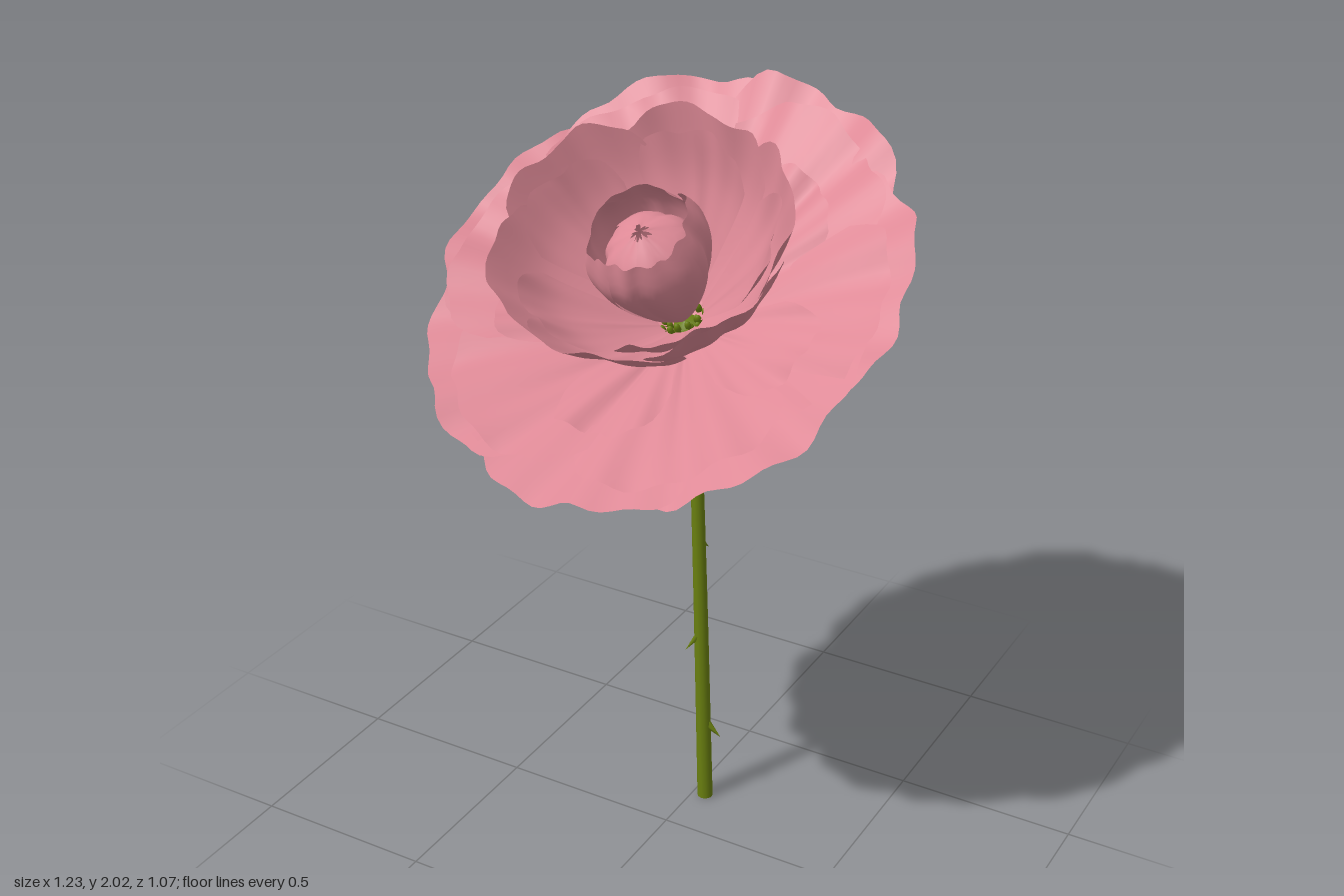
import * as THREE from 'three';

const V2 = (a) => a.map(([x, y]) => new THREE.Vector2(x, y));
const V3 = (x, y, z) => new THREE.Vector3(x, y, z);

// Petal swept around the flower axis: profile is [radius, height] from base to tip
function petalGeometry({ profile, angle, half, round, ruffle, twist, lean, seed }) {
  const curve = new THREE.SplineCurve(V2(profile));
  const NU = 28, NV = 14, pos = [], index = [];
  for (let j = 0; j <= NV; j++) {
    for (let i = 0; i <= NU; i++) {
      const u = (i / NU) * 2 - 1;
      // rounded, slightly scalloped tip
      const scallop = 0.015 * (2 + Math.sin(u * 7 + seed * 2.3) + Math.sin(u * 15 + seed));
      const v = (j / NV) * (1 - round * Math.pow(Math.abs(u), 3.5) - scallop);
      const p = curve.getPoint(v);
      const wave = ruffle * v * v * (Math.sin(u * 6.5 + seed * 1.7) + 0.5 * Math.sin(u * 13 + seed));
      const crease = -0.012 * Math.exp(-u * u * 60) * v * (1 - v) * 4;
      const a = angle + u * half * (0.8 + 0.2 * Math.sin(v * Math.PI * 0.6));
      // one edge lies over the neighbour, the other one under it
      const shift = wave + crease + twist * u * v;
      const r = p.x + lean * shift;
      pos.push(Math.sin(a) * r, p.y + (1 - lean) * shift, Math.cos(a) * r);
      if (i < NU && j < NV) {
        const k = j * (NU + 1) + i;
        index.push(k, k + 1, k + NU + 2, k, k + NU + 2, k + NU + 1);
      }
    }
  }
  const g = new THREE.BufferGeometry();
  g.setAttribute('position', new THREE.Float32BufferAttribute(pos, 3));
  g.setIndex(index);
  g.computeVertexNormals();
  return g;
}

// Pointed cone between two points, optionally flattened
function spike(from, to, radius, flat, sides, material) {
  const d = to.clone().sub(from);
  const g = new THREE.ConeGeometry(radius, d.length(), sides);
  g.translate(0, d.length() / 2, 0);
  const m = new THREE.Mesh(g, material);
  m.scale.z = flat;
  m.position.copy(from);
  m.quaternion.setFromUnitVectors(V3(0, 1, 0), d.normalize());
  return m;
}

// Tapered tube along a curve
function taperedTube(curve, r0, r1, segs, sides) {
  const g = new THREE.TubeGeometry(curve, segs, 1, sides);
  const p = g.attributes.position, v = V3();
  for (let i = 0; i < p.count; i++) {
    const t = Math.floor(i / (sides + 1)) / segs;
    const c = curve.getPointAt(t);
    v.fromBufferAttribute(p, i).sub(c).multiplyScalar(r0 + (r1 - r0) * t).add(c);
    p.setXYZ(i, v.x, Math.max(0, v.y), v.z);
  }
  return g;
}

export function createModel() {
  const pink = new THREE.MeshStandardMaterial({ color: 0xdf8a97, side: THREE.DoubleSide });
  pink.name = 'petal pink';
  const green = new THREE.MeshStandardMaterial({ color: 0x6a8010 });
  green.name = 'stem green';

  const model = new THREE.Group();
  model.name = 'flower';

  // Stem
  const path = new THREE.CatmullRomCurve3([
    V3(0.036, 0, -0.16), V3(0.013, 0.7, -0.16), V3(-0.007, 1.22, -0.16),
    V3(-0.01, 1.36, -0.155), V3(-0.01, 1.44, -0.128),
  ]);
  const stem = new THREE.Mesh(taperedTube(path, 0.022, 0.016, 40, 10), green);
  stem.name = 'stem';
  const stemEnd = new THREE.Mesh(new THREE.CircleGeometry(0.022, 10), green);
  stemEnd.name = 'stemEnd';
  stemEnd.rotation.x = Math.PI / 2;
  stemEnd.position.set(0.036, 0.001, -0.16);
  model.add(stem, stemEnd);

  // Thorns
  [
    [V3(0.04, 0.245, -0.16), V3(0.08, 0.21, -0.165)],
    [V3(0.012, 0.53, -0.15), V3(-0.013, 0.49, -0.127)],
    [V3(0.01, 0.825, -0.165), V3(0.014, 0.785, -0.206)],
  ].forEach(([a, b]) => {
    const thorn = spike(a, b, 0.013, 0.7, 6, green);
    thorn.name = 'thorn';
    model.add(thorn);
  });

  // Flower head, tilted towards the front
  const head = new THREE.Group();
  head.name = 'flowerHead';
  head.position.set(-0.01, 1.46, -0.12);
  head.rotation.x = THREE.MathUtils.degToRad(34.6);
  model.add(head);

  const receptacle = new THREE.Mesh(new THREE.LatheGeometry(
    V2([[0, -0.1], [0.018, -0.098], [0.034, -0.07], [0.048, -0.03], [0.052, 0.008], [0, 0.025]]), 16), green);
  receptacle.name = 'receptacle';
  head.add(receptacle);

  // Sepals
  for (let i = 0; i < 5; i++) {
    const a = (i / 5) * Math.PI * 2;
    const sepal = spike(V3(Math.sin(a) * 0.035, -0.015, Math.cos(a) * 0.035),
      V3(Math.sin(a) * 0.175, -0.08, Math.cos(a) * 0.175), 0.026, 0.6, 6, green);
    sepal.name = 'sepal';
    head.add(sepal);
  }

  // Stamens
  for (let i = 0; i < 26; i++) {
    const a = i * 2.4, r = 0.036 + 0.022 * ((i % 3) / 2);
    const stamen = new THREE.Mesh(new THREE.SphereGeometry(0.009, 7, 5), green);
    stamen.name = 'stamen';
    stamen.position.set(Math.sin(a) * r, 0.032 + 0.014 * (i % 2), Math.cos(a) * r);
    stamen.scale.y = 1.8;
    head.add(stamen);
  }

  // Petal rings from the outside in; lean 0 ruffles along the axis, 1 across it
  const rings = [
    { name: 'outerPetal', count: 7, half: 0.62, start: 0, round: 0.12, ruffle: 0.018, twist: 0.02, lean: 0.1, wide: 0.94,
      profile: [[0.03, 0], [0.21, 0.06], [0.42, 0.13], [0.665, 0.205]] },
    { name: 'middlePetal', count: 6, half: 0.6, start: 0.5, round: 0.18, ruffle: 0.018, twist: 0.02, lean: 0.1, wide: 0.97,
      profile: [[0.03, 0.015], [0.2, 0.08], [0.4, 0.155], [0.6, 0.22]] },
    { name: 'shortPetal', count: 5, half: 0.45, start: 0, round: 0.3, ruffle: 0.014, twist: 0.012, lean: 0.1, wide: 1,
      profile: [[0.035, 0.025], [0.16, 0.085], [0.3, 0.145], [0.45, 0.2]] },
    { name: 'cupPetal', count: 6, half: 0.68, start: 0, round: 0.2, ruffle: 0.012, twist: 0.018, lean: 0.8, wide: 1.05,
      profile: [[0.06, 0.055], [0.18, 0.155], [0.29, 0.275], [0.365, 0.425]] },
    { name: 'innerCupPetal', count: 5, half: 0.55, start: 0.63, round: 0.25, ruffle: 0.01, twist: 0.015, lean: 0.8, wide: 1.05,
      profile: [[0.058, 0.06], [0.16, 0.16], [0.26, 0.275], [0.32, 0.39]] },
    { name: 'budPetal', count: 4, half: 1.1, start: 0.3, round: 0.14, ruffle: 0.006, twist: 0.008, lean: 1, wide: 1,
      profile: [[0.02, 0.05], [0.085, 0.145], [0.135, 0.255], [0.15, 0.345], [0.118, 0.43]] },
    { name: 'budHeart', count: 3, half: 1.3, start: 1, round: 0.04, ruffle: 0.003, twist: 0.006, lean: 1, wide: 1,
      profile: [[0.015, 0.06], [0.07, 0.15], [0.118, 0.26], [0.105, 0.345], [0.01, 0.405]] },
  ];
  rings.forEach((ring, n) => {
    for (let i = 0; i < ring.count; i++) {
      const angle = ring.start + (i / ring.count) * Math.PI * 2;
      const petal = new THREE.Mesh(petalGeometry({ ...ring, angle, seed: i * 1.9 + n * 3.1 }), pink);
      petal.name = ring.name;
      petal.scale.x = ring.wide;
      head.add(petal);
    }
  });

  return model;
}
